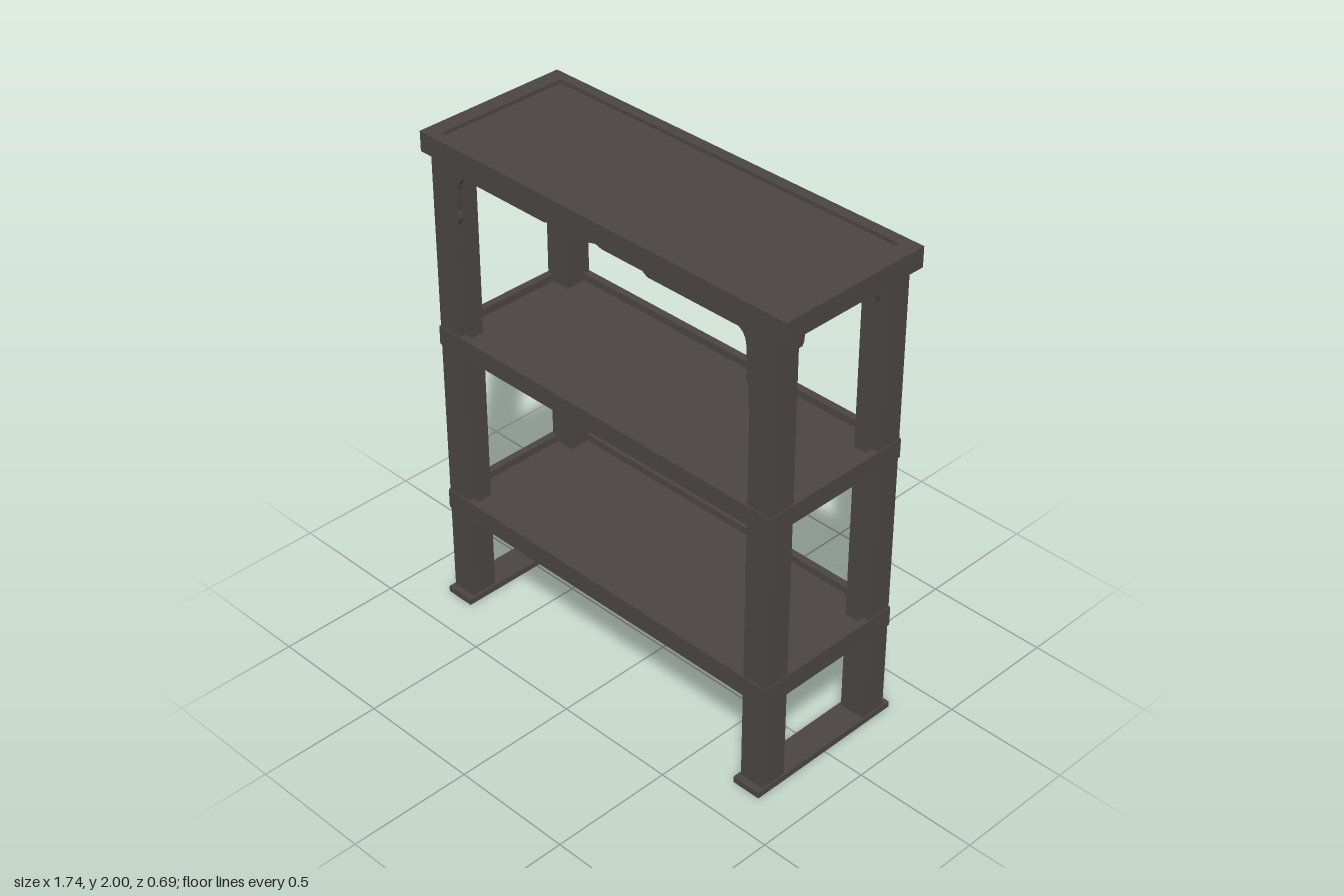
import * as THREE from 'three';

const wood = new THREE.MeshStandardMaterial({ color: 0x4a4541 });

function box(name, w, h, d, x, y, z) {
  const mesh = new THREE.Mesh(new THREE.BoxGeometry(w, h, d), wood);
  mesh.name = name;
  mesh.position.set(x, y, z);
  return mesh;
}

// A rectangular rim around a recessed panel.
function tray(name, w, d, y0, y1, rimX, rimZ, recess) {
  const group = new THREE.Group();
  group.name = name;
  const rect = (path, a, b) => path.moveTo(-a, -b).lineTo(a, -b).lineTo(a, b).lineTo(-a, b).closePath();
  const shape = rect(new THREE.Shape(), w / 2, d / 2);
  shape.holes.push(rect(new THREE.Path(), w / 2 - rimX, d / 2 - rimZ));
  const geo = new THREE.ExtrudeGeometry(shape, { depth: y1 - y0, bevelEnabled: false });
  geo.rotateX(-Math.PI / 2);
  const rim = new THREE.Mesh(geo, wood);
  rim.name = name + 'Rim';
  rim.position.y = y0;
  const h = y1 - recess - y0;
  group.add(rim, box(name + 'Panel', w - 2 * rimX, h, d - 2 * rimZ, 0, y0 + h / 2, 0));
  return group;
}

// A scalloped apron: the left half of its lower edge is mirrored about the middle.
function apron(name, half, top, edge, thickness) {
  const shape = new THREE.Shape();
  shape.moveTo(-half, top);
  edge.forEach(([x, y]) => shape.lineTo(x, y));
  [...edge].reverse().forEach(([x, y]) => { if (x < 0) shape.lineTo(-x, y); });
  shape.lineTo(half, top);
  shape.closePath();
  const geo = new THREE.ExtrudeGeometry(shape, { depth: thickness, bevelEnabled: false });
  geo.translate(0, 0, -thickness / 2);
  const mesh = new THREE.Mesh(geo, wood);
  mesh.name = name;
  return mesh;
}

export function createModel() {
  const model = new THREE.Group();
  model.name = 'shelfUnit';

  // Top and two shelves
  model.add(tray('top', 1.735, 0.65, 1.92, 2.0, 0.065, 0.045, 0.015));
  model.add(tray('middleShelf', 1.645, 0.65, 1.14, 1.217, 0.03, 0.03, 0.03));
  model.add(tray('lowerShelf', 1.645, 0.65, 0.4, 0.482, 0.03, 0.03, 0.03));

  // Posts and the foot board under each pair
  for (const s of [1, -1]) {
    const side = s > 0 ? 'left' : 'right';
    for (const t of [1, -1]) {
      model.add(box(side + (t > 0 ? 'Front' : 'Back') + 'Post', 0.105, 1.91, 0.11, s * 0.766, 0.965, t * 0.265));
    }
    model.add(box(side + 'Foot', 0.122, 0.025, 0.695, s * 0.764, 0.0125, 0));
  }

  // Front apron with long corner brackets
  const frontEdge = [
    [-0.72, 1.595], [-0.706, 1.595], [-0.704, 1.685], [-0.692, 1.705], [-0.69, 1.72],
    [-0.698, 1.745], [-0.692, 1.78], [-0.69, 1.83], [-0.685, 1.855], [-0.674, 1.874],
    [-0.655, 1.888], [-0.245, 1.888], [-0.22, 1.902], [-0.03, 1.902], [0, 1.91],
  ];
  const front = apron('frontApron', 0.72, 1.925, frontEdge, 0.02);
  front.position.z = 0.305;
  model.add(front);

  // Side aprons with short corner brackets
  const sideEdge = [
    [-0.215, 1.826], [-0.187, 1.826], [-0.18, 1.84], [-0.177, 1.865], [-0.165, 1.885],
    [-0.035, 1.888], [-0.02, 1.9], [0, 1.908],
  ];
  for (const s of [1, -1]) {
    const side = apron(s > 0 ? 'leftApron' : 'rightApron', 0.215, 1.925, sideEdge, 0.02);
    side.rotation.y = Math.PI / 2;
    side.position.x = s * 0.803;
    model.add(side);
  }
  return model;
}
